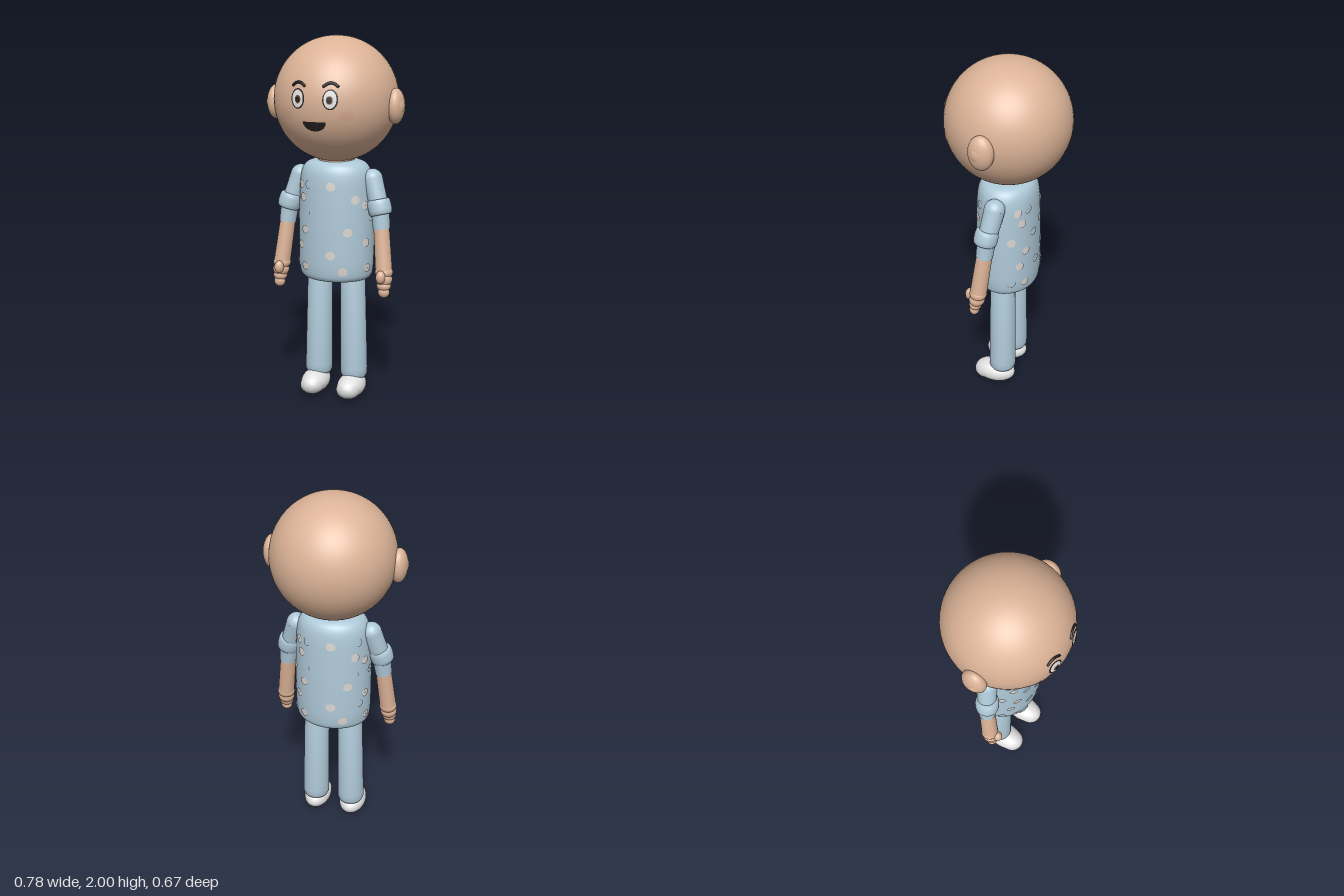
import * as THREE from 'three';

const mat = (name, color, side = THREE.FrontSide) => {
  const m = new THREE.MeshStandardMaterial({ color, side });
  m.name = name;
  return m;
};

export function createModel() {
  const skin = mat('skin', 0xdcb397);
  const blue = mat('lightBlue', 0xafc9d8);
  const dotPale = mat('paleDot', 0xdcd6d0);
  const white = mat('shoeWhite', 0xe2e2e2);
  const toeGrey = mat('toeGrey', 0xd2d2d2);
  const black = mat('black', 0x241f20);
  const eyeWhite = mat('eyeWhite', 0xeceae8);
  const brown = mat('irisBrown', 0x6a4a3a);
  const blush = mat('blush', 0xdbac92);

  const model = new THREE.Group();
  model.name = 'standingFigure';
  const V = (x, y, z) => new THREE.Vector3(x, y, z);
  const add = (name, geo, material, parent = model) => {
    const mesh = new THREE.Mesh(geo, material);
    mesh.name = name;
    parent.add(mesh);
    return mesh;
  };
  const ball = (name, p, r, material, parent) => {
    const mesh = add(name, new THREE.SphereGeometry(1, 32, 20), material, parent);
    mesh.position.copy(p);
    mesh.scale.copy(r);
    return mesh;
  };
  // Lathe or cylinder aligned from a (top) to b (bottom)
  const align = (mesh, a, b) => {
    mesh.position.copy(a).add(b).multiplyScalar(0.5);
    mesh.quaternion.setFromUnitVectors(V(0, 1, 0), a.clone().sub(b).normalize());
    return mesh;
  };
  const segment = (name, a, b, ra, rb, material, parent) =>
    align(add(name, new THREE.CylinderGeometry(ra, rb, a.distanceTo(b), 28), material, parent), a, b);
  // Move every vertex of a geometry by a rule
  const warp = (geo, rule) => {
    const pos = geo.attributes.position;
    for (let i = 0; i < pos.count; i++) {
      const p = rule(pos.getX(i), pos.getY(i));
      pos.setXYZ(i, p.x, p.y, p.z);
    }
    geo.computeVertexNormals();
    return geo;
  };

  // Head and neck
  const R = 0.335, headY = 1.665;
  const head = add('head', new THREE.SphereGeometry(R, 64, 48), skin);
  head.position.y = headY;
  segment('neck', V(0, 1.4, 0), V(0, 1.3, 0), 0.1, 0.1, skin);

  // Thin face details that follow the curve of the head
  const onHead = (x, y, lift) => V(x, y, Math.sqrt((R + lift) ** 2 - x * x - (y - headY) ** 2));
  const facePatch = (name, x, y, rx, ry, lift, material, start = 0, sweep = Math.PI * 2) =>
    add(name, warp(new THREE.RingGeometry(0.001, 1, 36, 5, start, sweep),
      (u, v) => onHead(x + u * rx, y + v * ry, lift)), material);

  for (const [side, s] of [['left', 1], ['right', -1]]) {
    facePatch(side + 'EyeOutline', s * 0.088, 1.693, 0.039, 0.052, 0.002, black);
    facePatch(side + 'EyeWhite', s * 0.088, 1.693, 0.032, 0.045, 0.004, eyeWhite);
    facePatch(side + 'Iris', s * 0.086, 1.69, 0.017, 0.021, 0.006, brown);
    facePatch(side + 'Pupil', s * 0.086, 1.69, 0.012, 0.015, 0.008, black);
    facePatch(side + 'Cheek', s * 0.165, 1.607, 0.037, 0.025, 0.002, blush);

    const browPath = new THREE.CatmullRomCurve3([-1, -0.5, 0, 0.5, 1].map(t =>
      onHead(s * 0.087 + t * 0.034, 1.775 - 0.016 * t * t, 0.001)));
    add(side + 'Brow', new THREE.TubeGeometry(browPath, 20, 0.0075, 10), black);
    for (const t of [0, 1]) ball(side + 'BrowEnd', browPath.getPoint(t), V(0.0075, 0.0075, 0.0075), black);

    // Ears
    ball(side + 'Ear', V(s * 0.34, 1.64, 0.024), V(0.047, 0.094, 0.068), skin);
    ball(side + 'InnerEar', V(s * 0.368, 1.64, 0.035), V(0.021, 0.042, 0.034), skin);
  }
  facePatch('mouth', 0, 1.577, 0.063, 0.05, 0.003, black, Math.PI, Math.PI);

  // Shirt body: rounded profile, flattened front to back
  const flat = 0.82;
  const profile = new THREE.SplineCurve([
    [0.001, 0.68], [0.1, 0.68], [0.17, 0.683], [0.197, 0.7], [0.207, 0.74], [0.211, 0.82], [0.21, 1.0],
    [0.205, 1.15], [0.199, 1.24], [0.185, 1.295], [0.155, 1.327], [0.1, 1.34], [0.001, 1.342],
  ].map(([x, y]) => new THREE.Vector2(x, y))).getPoints(72);
  const shirt = add('shirt', new THREE.LatheGeometry(profile, 56), blue);
  shirt.scale.z = flat;

  const shirtRadius = y => {
    const i = Math.max(1, profile.findIndex(p => p.y >= y && p.x > 0.19));
    const a = profile[i - 1], b = profile[i];
    return THREE.MathUtils.lerp(a.x, b.x, THREE.MathUtils.clamp((y - a.y) / (b.y - a.y), 0, 1));
  };
  // Polka dots that wrap around the shirt, repeated on the opposite side
  const dot = (angle, y, material) => {
    for (const turn of [0, Math.PI]) {
      add('shirtDot', warp(new THREE.RingGeometry(0.001, 0.024, 20, 2), (u, v) => {
        const r = shirtRadius(y + v) + 0.006, a = angle + turn + u / 0.19;
        return V(r * Math.sin(a), y + v, flat * r * Math.cos(a));
      }), material);
    }
  };
  const frontDots = (list, material) =>
    list.forEach(([x, y]) => dot(Math.asin(x / (shirtRadius(y) + 0.006)), y, material));
  frontDots([[-0.16, 1.21], [0.03, 1.215], [-0.143, 1.143], [0.153, 1.143], [-0.19, 1.037], [-0.127, 0.968],
    [0.12, 0.968], [-0.16, 0.878], [0.03, 0.84], [-0.13, 0.762], [0.095, 0.75]], dotPale);
  frontDots([[-0.105, 1.217], [0.164, 1.228], [0.01, 1.11], [-0.07, 1.063], [0.15, 1.04], [0.02, 0.963],
    [-0.05, 0.878], [0.175, 0.852], [0.037, 0.788], [-0.19, 0.77]], blue);
  const sideDots = [[-0.07, 1.11, dotPale], [-0.07, 0.905, dotPale], [-0.06, 0.762, dotPale], [-0.03, 1.04, blue]];
  sideDots.forEach(([z, y, m]) => dot(-Math.acos(z / (flat * shirtRadius(y))), y, m));

  for (const [side, s] of [['left', 1], ['right', -1]]) {
    // Sleeve with rolled cuff
    const arm = new THREE.Group();
    arm.name = side + 'Arm';
    model.add(arm);
    const shoulder = V(s * 0.208, 1.243, 0.004), elbow = V(s * 0.262, 1.08, 0.03);
    const sleeveEnd = V(s * 0.274, 0.98, 0.04), wrist = V(s * 0.299, 0.75, 0.068);
    ball('shoulder', shoulder, V(0.056, 0.056, 0.056), blue, arm);
    segment('upperSleeve', shoulder, elbow, 0.056, 0.05, blue, arm);
    ball('elbow', elbow, V(0.05, 0.05, 0.05), blue, arm);
    segment('lowerSleeve', elbow, sleeveEnd, 0.05, 0.046, blue, arm);
    const cuffProfile = [[0.04, -0.042], [0.054, -0.042], [0.061, -0.034], [0.064, -0.015], [0.064, 0.015],
      [0.061, 0.034], [0.054, 0.042], [0.04, 0.042]].map(([x, y]) => new THREE.Vector2(x, y));
    align(add('rolledCuff', new THREE.LatheGeometry(cuffProfile, 32), blue, arm),
      V(s * 0.249, 1.139, 0.027), V(s * 0.271, 1.055, 0.039));

    // Forearm and tiered hand
    segment('forearm', sleeveEnd, wrist, 0.043, 0.046, skin, arm);
    ball('wrist', wrist, V(0.049, 0.04, 0.047), skin, arm);
    ball('palm', V(s * 0.302, 0.712, 0.076), V(0.046, 0.042, 0.044), skin, arm);
    ball('fingers', V(s * 0.304, 0.678, 0.083), V(0.039, 0.032, 0.035), skin, arm);
    ball('fingertips', V(s * 0.306, 0.644, 0.089), V(0.032, 0.032, 0.027), skin, arm);
    ball('thumb', V(s * 0.296, 0.732, 0.118), V(0.026, 0.036, 0.026), skin, arm);

    // Trouser leg with a rounded hem
    const legProfile = [[0.001, -0.31], [0.05, -0.31], [0.066, -0.303], [0.075, -0.285], [0.076, -0.25],
      [0.069, 0.3], [0.001, 0.3]].map(([x, y]) => new THREE.Vector2(x, y));
    align(add(side + 'TrouserLeg', new THREE.LatheGeometry(legProfile, 36), blue),
      V(s * 0.096, 0.72, 0), V(s * 0.106, 0.1, 0));

    // Shoe and toe cap
    ball(side + 'Shoe', V(s * 0.108, 0.066, 0.045), V(0.077, 0.066, 0.12), white);
    ball(side + 'ToeCap', V(s * 0.108, 0.058, 0.1), V(0.068, 0.052, 0.068), toeGrey);
  }
  return model;
}
